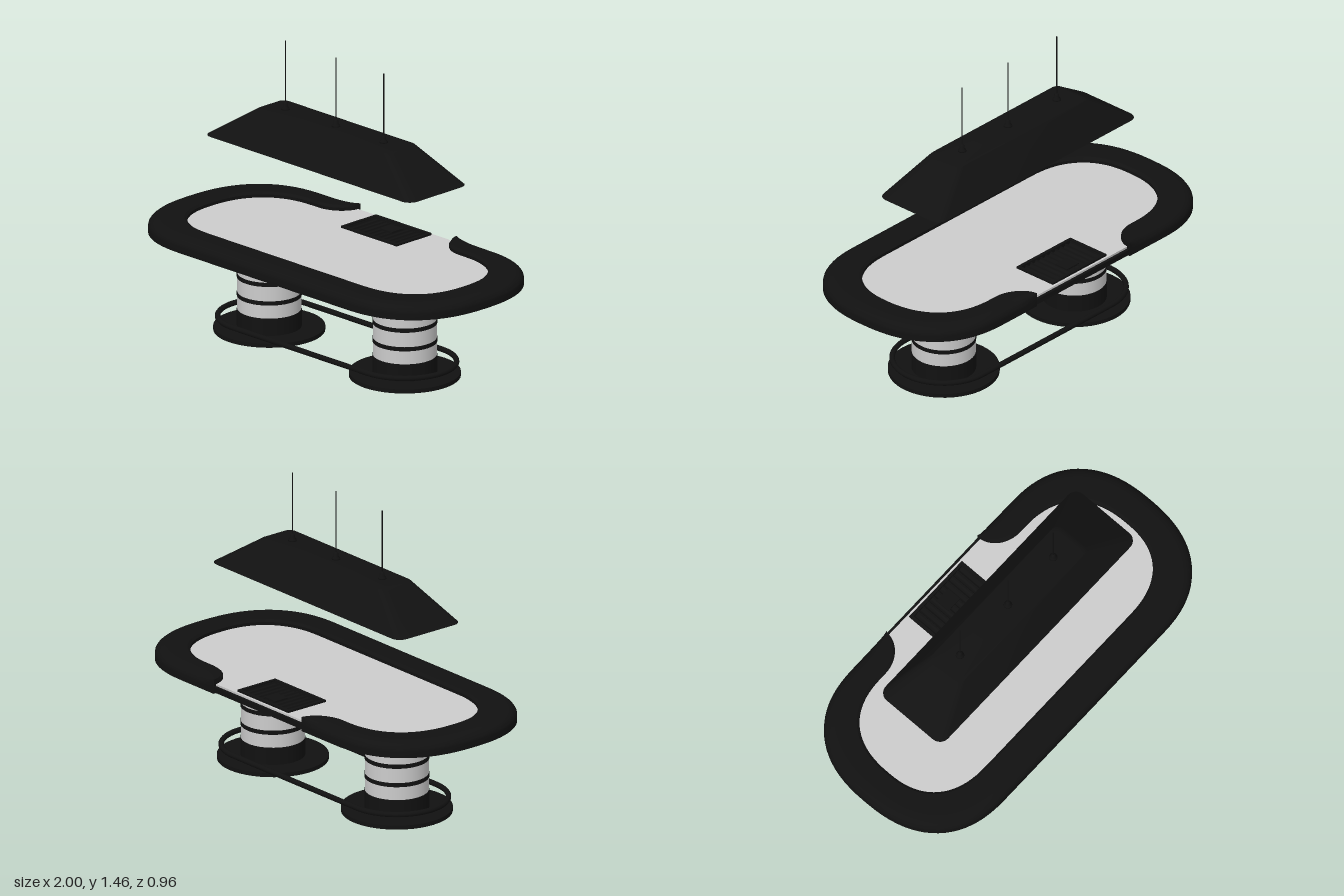
import * as THREE from 'three';
import { toCreasedNormals } from 'three/addons/utils/BufferGeometryUtils.js';

const grey = new THREE.MeshStandardMaterial({ color: 0xcccccc });
const black = new THREE.MeshStandardMaterial({ color: 0x111111, side: THREE.DoubleSide });

function add(parent, name, geometry, material, x = 0, y = 0, z = 0) {
  const mesh = new THREE.Mesh(geometry, material);
  mesh.name = name;
  mesh.position.set(x, y, z);
  parent.add(mesh);
  return mesh;
}

// Skin a list of equal-length cross-sections; each section is a closed ring
function loft(rows) {
  const n = rows[0].length, index = [];
  for (let i = 0; i < rows.length - 1; i++) {
    for (let j = 0; j < n; j++) {
      const k = (j + 1) % n, a = i * n + j, d = i * n + k;
      index.push(a, d, a + n, d, d + n, a + n);
    }
  }
  const g = new THREE.BufferGeometry();
  g.setAttribute('position', new THREE.Float32BufferAttribute(rows.flat(2), 3));
  g.setIndex(index);
  return toCreasedNormals(g, 0.6);
}

// Flat slab from a plan outline of [x, z] points
function slab(points, y0, y1, hole) {
  const toVec = ([x, z]) => new THREE.Vector2(x, -z);
  const shape = new THREE.Shape(points.map(toVec));
  if (hole) shape.holes.push(new THREE.Path(hole.map(toVec)));
  const g = new THREE.ExtrudeGeometry(shape, { depth: y1 - y0, bevelEnabled: false });
  return toCreasedNormals(g.rotateX(-Math.PI / 2).translate(0, y0, 0), 0.6);
}

const rect = (x0, x1, z0, z1) => [[x0, z0], [x1, z0], [x1, z1], [x0, z1]];

// Plan of the armrest: pairs of outer and inner points, open at the dealer's side
function railPlan() {
  const power = (v) => Math.sign(v) * Math.abs(v) ** (2 / 2.4);
  const half = [{ outer: [0, 0.478], inner: [0, 0.315] }];
  for (let i = 0; i <= 40; i++) {
    const t = (i / 40) * Math.PI;
    const s = power(Math.max(0, Math.sin(t))), c = power(Math.cos(t));
    half.push({
      outer: [0.55 + 0.45 * s, 0.478 * c],
      inner: [0.5 + 0.335 * s, (c > 0 ? 0.315 : 0.345) * c],
    });
  }
  for (let i = 0; i <= 12; i++) {
    const t = (i / 12) * Math.PI / 2;
    half.push({
      outer: [0.53 - 0.21 * (i / 12), -0.478],
      inner: [0.47 - 0.15 * Math.sin(t), -0.475 + 0.13 * Math.cos(t)],
    });
  }
  const flip = ([x, z]) => [-x, z];
  const other = half.slice(1).reverse().map((p) => ({ outer: flip(p.outer), inner: flip(p.inner) }));
  return [...other, ...half];
}

function addTableTop(group) {
  const plan = railPlan();
  const mix = (p, f) => p.outer.map((v, i) => v + (p.inner[i] - v) * f);

  // Padded armrest, rounded towards the outside
  const rows = plan.map((p) => {
    const width = Math.hypot(p.outer[0] - p.inner[0], p.outer[1] - p.inner[1]);
    const r = Math.min(0.065, width * 0.5) / width;
    const at = (f, y) => { const [x, z] = mix(p, f); return [x, y, z]; };
    const section = [at(1, 0.47), at(1, 0.53), at(1 - r * 0.2, 0.54)];
    for (let i = 0; i <= 6; i++) {
      const a = (i / 6) * Math.PI / 2;
      section.push(at(r * (1 - Math.sin(a)), 0.5 + 0.04 * Math.cos(a)));
    }
    section.push(at(0, 0.47));
    return section;
  });
  add(group, 'armrest', loft(rows), black);

  // Board and felt with an opening for the chip tray
  const hole = rect(-0.185, 0.175, -0.445, -0.225);
  add(group, 'baseBoard', slab(plan.map((p) => mix(p, 0.35)), 0.478, 0.505, hole), black);
  const feltEdge = plan.map((p) => mix(p, 0.9)).map(([x, z]) => [x, Math.max(z, -0.462)]);
  add(group, 'felt', slab(feltEdge, 0.505, 0.515, hole), grey);
}

function addChipTray(group) {
  const tray = new THREE.Group();
  tray.name = 'chipTray';
  tray.position.x = -0.005;
  group.add(tray);
  add(tray, 'trayFrame',
    slab(rect(-0.185, 0.185, -0.45, -0.22), 0.475, 0.525, rect(-0.17, 0.17, -0.435, -0.235)), black);

  // Row of scalloped chip channels
  const channels = 10, pitch = 0.34 / channels;
  const profile = new THREE.Shape();
  profile.moveTo(-0.17, 0.474);
  profile.lineTo(-0.17, 0.518);
  for (let i = 0; i < channels; i++) {
    profile.absarc(-0.17 + (i + 0.5) * pitch, 0.518, pitch * 0.44, Math.PI, 2 * Math.PI, false);
  }
  profile.lineTo(0.17, 0.518);
  profile.lineTo(0.17, 0.474);
  const g = new THREE.ExtrudeGeometry(profile, { depth: 0.2, bevelEnabled: false, curveSegments: 8 });
  add(tray, 'chipChannels', toCreasedNormals(g, 0.6), black, 0, 0, -0.435);
  add(tray, 'trayPlate', new THREE.BoxGeometry(0.08, 0.008, 0.075), black, 0, 0.518, -0.37);
  for (const side of [-1, 1]) {
    add(tray, 'trayBracket', new THREE.BoxGeometry(0.125, 0.012, 0.03), black, side * 0.105, 0.471, -0.42);
  }
}

function addLegs(group) {
  const cyl = (r, h) => new THREE.CylinderGeometry(r, r, h, 48);
  const z = -0.007;
  for (const side of [-1, 1]) {
    const leg = new THREE.Group();
    leg.name = side > 0 ? 'leftLeg' : 'rightLeg';
    leg.position.set(side * 0.451, 0, z);
    group.add(leg);
    add(leg, 'footDisc', cyl(0.262, 0.02), black, 0, 0.01, 0);
    add(leg, 'plinth', cyl(0.152, 0.085), black, 0, 0.0625, 0);
    add(leg, 'column', cyl(0.15, 0.375), grey, 0, 0.2925, 0);
    for (const y of [0.18, 0.272]) add(leg, 'columnBand', cyl(0.152, 0.02), black, 0, y, 0);
  }

  // Crossbeam with a dark inlay
  for (const y of [0.325, 0.395]) {
    add(group, 'crossbeam', new THREE.BoxGeometry(0.66, y > 0.35 ? 0.055 : 0.04, 0.2), grey, 0, y, z);
  }
  add(group, 'beamInlay', new THREE.BoxGeometry(0.655, 0.025, 0.198), black, 0, 0.357, z);

  // Foot rail looping around both columns
  const points = [], r = 0.242;
  const path = new THREE.CurvePath();
  const end = (side) => {
    const arc = [];
    for (let i = 0; i <= 24; i++) {
      const a = (i / 24) * Math.PI;
      arc.push(new THREE.Vector3(side * (0.451 + r * Math.sin(a)), 0.068, z + side * r * Math.cos(a)));
    }
    return arc;
  };
  points.push(...end(1), ...end(-1));
  points.forEach((p, i) => path.add(new THREE.LineCurve3(p, points[(i + 1) % points.length])));
  add(group, 'footRail', new THREE.TubeGeometry(path, 240, 0.013, 10, true), black);
}

function addLamp(group) {
  const lamp = new THREE.Group();
  lamp.name = 'hangingLamp';
  group.add(lamp);

  // Rounded rectangle at a given height
  const ring = (hx, hz, r, y) => {
    const pts = [];
    for (let k = 0; k < 4; k++) {
      const sx = k < 2 ? 1 : -1, sz = k === 0 || k === 3 ? 1 : -1;
      for (let i = 0; i <= 6; i++) {
        const a = (k + i / 6) * Math.PI / 2;
        pts.push([sx * (hx - r) + r * Math.sin(a), y, sz * (hz - r) + r * Math.cos(a)]);
      }
    }
    return pts;
  };
  add(lamp, 'lampShade', loft([
    ring(0.688, 0.195, 0.05, 0.955), ring(0.46, 0.105, 0.04, 1.108),
    ring(0.447, 0.098, 0.035, 1.117), ring(0.43, 0.085, 0.03, 1.12), ring(0, 0, 0, 1.12),
  ]), black);

  // Cords and their fittings
  const fitting = [[0, 0], [0.021, 0], [0.019, 0.01], [0.012, 0.018], [0.012, 0.03], [0.006, 0.038], [0, 0.04]]
    .map(([r, y]) => new THREE.Vector2(r, y));
  for (const x of [-0.336, 0, 0.317]) {
    add(lamp, 'cordFitting', new THREE.LatheGeometry(fitting, 16), black, x, 1.117, 0);
    add(lamp, 'cord', new THREE.CylinderGeometry(0.003, 0.003, 0.32, 8), black, x, 1.3, 0);
  }
}

export function createModel() {
  const group = new THREE.Group();
  group.name = 'cardTable';
  addTableTop(group);
  addChipTray(group);
  addLegs(group);
  addLamp(group);
  return group;
}
